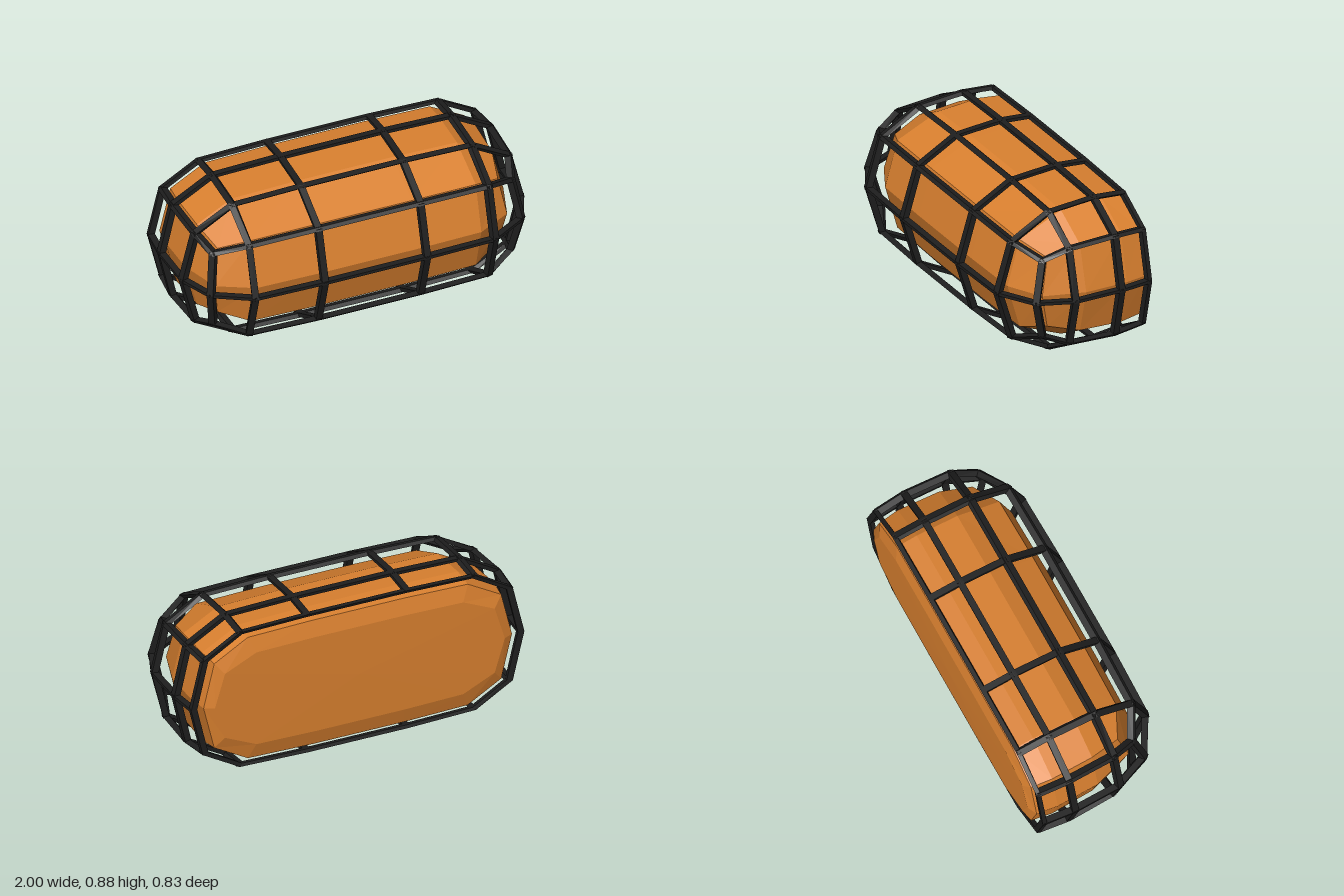
import * as THREE from 'three';
import { mergeGeometries } from 'three/addons/utils/BufferGeometryUtils.js';

const MID = 0.44;       // height of the centre line
const FLAT = 0.48;      // bars are thinner vertically by this factor
const BAR = 0.0185;     // half thickness of a bar

// Node of a bulged box lattice: i = 0..5 across, j = 0..2 up, k = 0..3 front to back.
// y is measured from the centre line.
function cageNode(i, j, k) {
  const end = i === 0 || i === 5, side = i < 3 ? -1 : 1;
  const inner = i === 2 || i === 3, edge = j !== 1;
  let x = inner ? 0.295 : 0.69, y = 0, z;
  if (k === 0) {
    if (end) x = edge ? 0.86 : 0.895;
    if (edge) y = end ? 0.225 : inner ? 0.29 : 0.285;
    if (edge) z = end ? 0.215 : inner ? 0.31 : 0.303;
    else z = end ? 0.27 : inner ? 0.397 : 0.388;
  } else {
    if (end) x = (edge ? [0.905, 0.915, 0.9] : [0.975, 0.983, 0.967])[k - 1];
    if (edge) y = (end ? [0.282, 0.292, 0.28] : [0.415, 0.43, 0.412])[k - 1];
    if (edge && !end && !inner) y -= 0.01;
    z = [0.078, -0.195, -0.372][k - 1];
  }
  return new THREE.Vector3(x * side, y * (j - 1), z);
}

// The lens follows the cage, a little smaller and set further back.
function lensNode(i, j, k) {
  const p = cageNode(i, j, k);
  const z = k === 0 ? p.z * 0.87 - 0.03 : [-0.02, -0.265, -0.385][k - 1];
  return new THREE.Vector3(p.x * 0.942, p.y * 0.915, z);
}

// Quads of the lattice's front, top, bottom and two ends, as [i, j, k] corners.
function latticeQuads() {
  const quads = [];
  for (let i = 0; i < 5; i++) {
    for (let j = 0; j < 2; j++)
      quads.push([[i, j, 0], [i + 1, j, 0], [i + 1, j + 1, 0], [i, j + 1, 0]]);
    for (let k = 0; k < 3; k++) {
      const q = (j) => [[i, j, k], [i + 1, j, k], [i + 1, j, k + 1], [i, j, k + 1]];
      quads.push(q(2), q(0).reverse());
    }
  }
  for (let j = 0; j < 2; j++)
    for (let k = 0; k < 3; k++) {
      const q = (i) => [[i, j, k], [i, j, k + 1], [i, j + 1, k + 1], [i, j + 1, k]];
      quads.push(q(5), q(0).reverse());
    }
  return quads;
}

function lensGeometry() {
  const pos = [];
  const tri = (...pts) => pts.forEach((p) => pos.push(p.x, p.y, p.z));
  const quad = (a, b, c, d) => { tri(a, b, c); tri(a, c, d); };
  latticeQuads().forEach((q) => quad(...q.map((n) => lensNode(...n))));

  // chamfered back, closed by a nearly flat cap
  const rim = [];
  for (let i = 0; i < 6; i++) rim.push(lensNode(i, 0, 3));
  rim.push(lensNode(5, 1, 3));
  for (let i = 5; i >= 0; i--) rim.push(lensNode(i, 2, 3));
  rim.push(lensNode(0, 1, 3));
  const inset = rim.map((p) => new THREE.Vector3(p.x * 0.94, p.y * 0.76, -0.411));
  const centre = new THREE.Vector3(0, 0, -0.415);
  rim.forEach((a, n) => {
    const m = (n + 1) % rim.length;
    quad(rim[m], a, inset[n], inset[m]);
    tri(inset[m], inset[n], centre);
  });
  const g = new THREE.BufferGeometry();
  g.setAttribute('position', new THREE.Float32BufferAttribute(pos, 3));
  g.computeVertexNormals();
  return g;
}

// Square bar between two nodes, each end turned to that node's surface normal.
function bar(a, b, halfWidth) {
  const g = new THREE.BoxGeometry(2, 2, 2);
  const P = g.attributes.position;
  const dir = b.p.clone().sub(a.p).normalize();
  for (let v = 0; v < P.count; v++) {
    const e = P.getZ(v) < 0 ? a : b;
    const across = e.n.clone().cross(dir).normalize();
    const q = e.p.clone()
      .addScaledVector(across, P.getX(v) * halfWidth)
      .addScaledVector(e.n, P.getY(v) * BAR)
      .addScaledVector(dir, P.getZ(v) * 0.004);
    P.setXYZ(v, q.x, q.y * FLAT, q.z);
  }
  g.computeVertexNormals();
  return g;
}

function cageGeometry() {
  const nodes = new Map(), edges = new Map();
  const get = (c) => {
    const key = c.join();
    if (!nodes.has(key)) {
      const p = cageNode(...c);
      p.y /= FLAT;
      nodes.set(key, { p, n: new THREE.Vector3(), k: c[2] });
    }
    return nodes.get(key);
  };
  // gather node normals and unique edges
  latticeQuads().forEach((q) => {
    const c = q.map(get);
    const n = c[2].p.clone().sub(c[0].p).cross(c[3].p.clone().sub(c[1].p)).normalize();
    c.forEach((node, s) => {
      node.n.add(n);
      const t = (s + 1) % 4;
      edges.set([q[s].join(), q[t].join()].sort().join('|'), [node, c[t]]);
    });
  });
  nodes.forEach((node) => node.n.normalize());
  // the open back rim is narrower than the other bars
  return mergeGeometries([...edges.values()].map(([a, b]) =>
    bar(a, b, a.k === 3 && b.k === 3 ? 0.0125 : BAR)));
}

export function createModel() {
  const amber = new THREE.MeshStandardMaterial({ color: 0xd9802f, flatShading: true });
  amber.name = 'amber';
  const black = new THREE.MeshStandardMaterial({ color: 0x1e1e1e, flatShading: true });
  black.name = 'black';

  const group = new THREE.Group();
  group.name = 'cagedLamp';
  const add = (name, geometry, material) => {
    const mesh = new THREE.Mesh(geometry, material);
    mesh.name = name;
    mesh.position.y = MID;
    group.add(mesh);
  };
  add('lens', lensGeometry(), amber);
  add('cage', cageGeometry(), black);
  return group;
}
